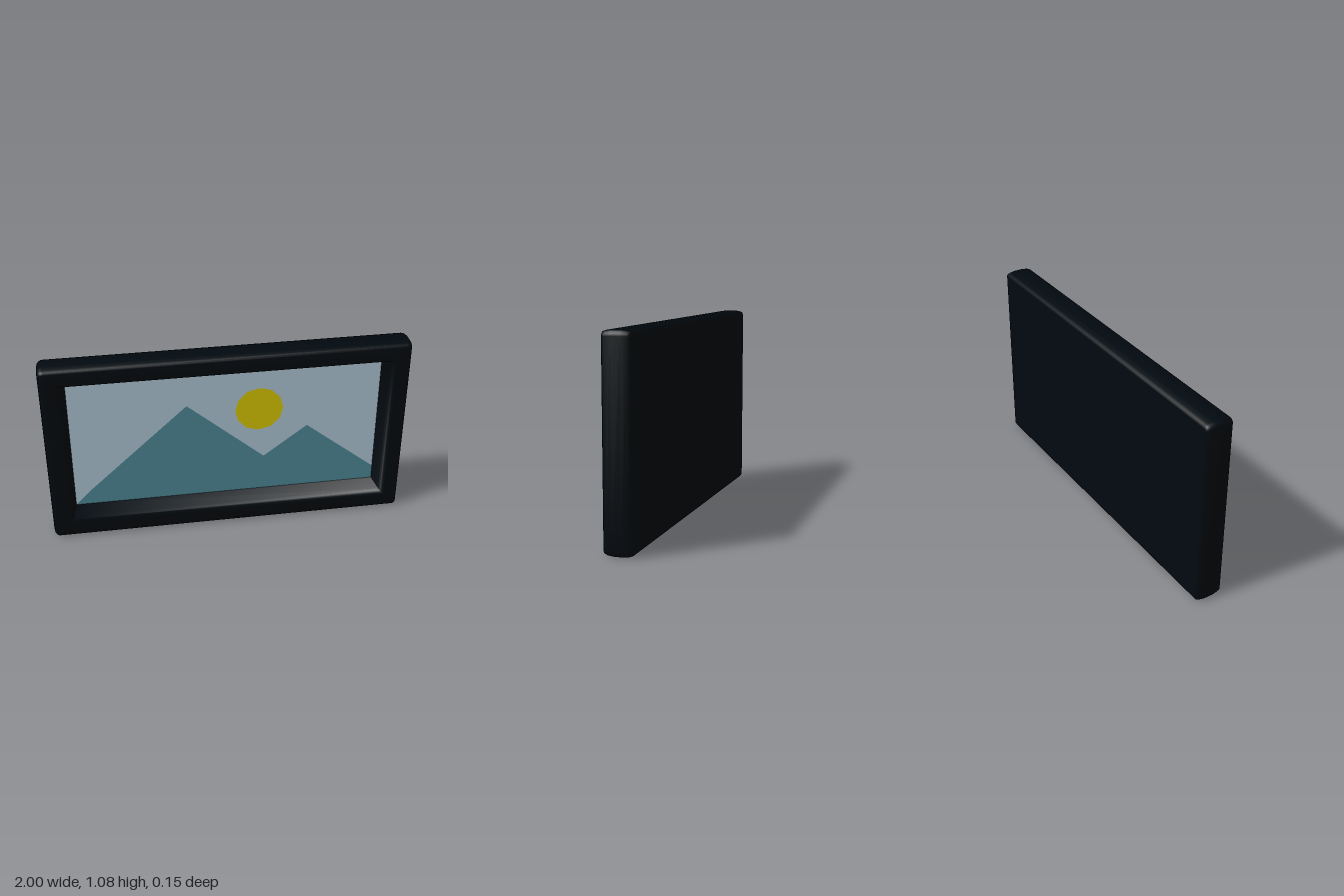
import * as THREE from 'three';
import { toCreasedNormals } from 'three/addons/utils/BufferGeometryUtils.js';

const HALF_W = 1, HALF_H = 0.54, MID_Y = 0.54;

// One rounded-rectangle ring, counter-clockwise seen from the front
function ring(inset, z) {
  const r = Math.max(0.03 - inset * 0.8, 0.001), steps = 4, points = [];
  [[1, 1], [-1, 1], [-1, -1], [1, -1]].forEach(([sx, sy], k) => {
    for (let i = 0; i <= steps; i++) {
      const a = (k + i / steps) * Math.PI / 2;
      points.push(
        sx * (HALF_W - inset - r) + r * Math.cos(a),
        MID_Y + sy * (HALF_H - inset - r) + r * Math.sin(a),
        z
      );
    }
  });
  return points;
}

// Sweep an [inset, z] profile around the rectangle
function sweep(profile) {
  const positions = profile.flatMap(([inset, z]) => ring(inset, z));
  const n = positions.length / 3 / profile.length, index = [];
  for (let i = 0; i < profile.length - 1; i++) {
    for (let j = 0; j < n; j++) {
      const a = i * n + j, b = i * n + (j + 1) % n;
      index.push(a, a + n, b + n, a, b + n, b);
    }
  }
  const geometry = new THREE.BufferGeometry();
  geometry.setAttribute('position', new THREE.Float32BufferAttribute(positions, 3));
  geometry.setIndex(index);
  return toCreasedNormals(geometry, 0.9);
}

export function createModel() {
  const model = new THREE.Group();
  const add = (name, geometry, color, x = 0, y = 0, z = 0) => {
    const mesh = new THREE.Mesh(geometry, new THREE.MeshStandardMaterial({ color }));
    mesh.name = name;
    mesh.position.set(x, y, z);
    model.add(mesh);
    return mesh;
  };

  // Frame: recessed inner wall, rounded front, crowned sides, rounded back edge
  add('frame', sweep([
    [0.136, -0.04], [0.112, 0.05], [0.106, 0.064], [0.096, 0.074], [0.085, 0.077],
    [0.022, 0.077], [0.01, 0.071], [0.004, 0.055], [0, 0.025],
    [0, -0.025], [0.004, -0.055], [0.01, -0.071], [0.022, -0.077]
  ]), 0x01090f);

  // Flat back closing the frame
  const back = add('backPanel', new THREE.PlaneGeometry(1.956, 1.036), 0x01090f, 0, MID_Y, -0.077);
  back.rotation.y = Math.PI;

  // Picture: flat layers set back inside the frame
  add('sky', new THREE.PlaneGeometry(1.74, 0.82), 0xbbd6e6, 0, MID_Y, -0.037);

  const ridge = [[-0.865, 0.136], [0.865, 0.136], [0.865, 0.22], [0.46, 0.545],
    [0.215, 0.36], [-0.22, 0.735], [-0.79, 0.215]];
  const mountainShape = new THREE.Shape(ridge.map(([x, y]) => new THREE.Vector2(x, y)));
  add('mountains', new THREE.ShapeGeometry(mountainShape), 0x5593a2, 0, 0, -0.035);

  add('sun', new THREE.CircleGeometry(0.135, 12), 0xe8d600, 0.185, 0.677, -0.035);

  return model;
}
